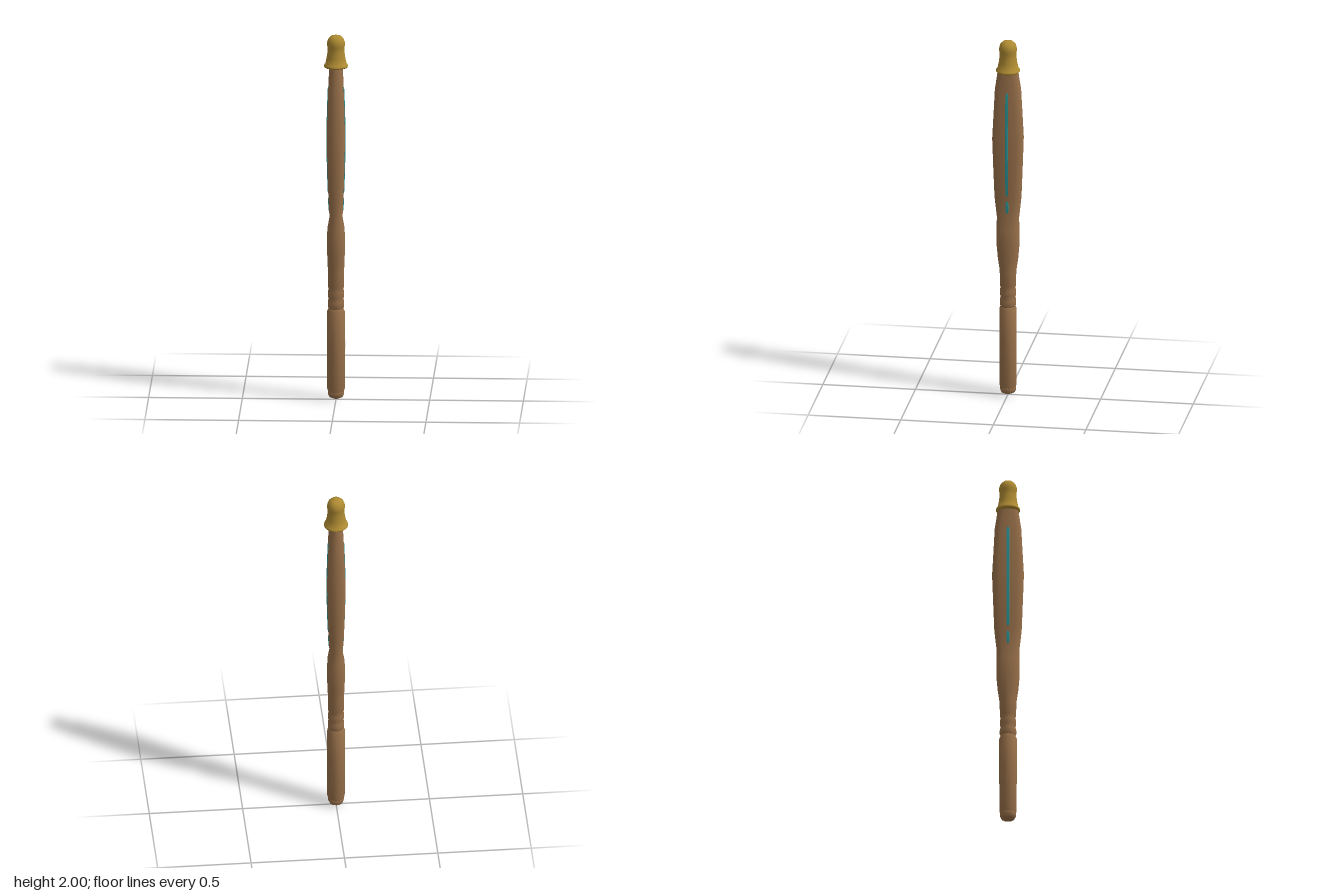
import * as THREE from 'three';
import { toCreasedNormals } from 'three/addons/utils/BufferGeometryUtils.js';

// Rows of [y, half width in x, half depth in z, corner exponent (1 = ellipse, lower = squarer)]
const SHAFT = [
  [0.5, 0.04, 0.04, 1], [0.512, 0.044, 0.044, 1], [0.535, 0.044, 0.044, 1], [0.553, 0.04, 0.04, 1],
  [0.565, 0.043, 0.043, 1], [0.59, 0.043, 0.043, 1], [0.608, 0.04, 0.04, 1], [0.618, 0.043, 0.043, 1],
  [0.7, 0.043, 0.045, 1], [0.77, 0.046, 0.055, 0.9], [0.85, 0.049, 0.062, 0.8], [0.94, 0.046, 0.062, 0.8],
  [1.0, 0.035, 0.06, 0.75], [1.12, 0.041, 0.073, 0.65], [1.28, 0.046, 0.079, 0.6], [1.45, 0.049, 0.085, 0.6],
  [1.6, 0.045, 0.077, 0.6], [1.72, 0.041, 0.071, 0.65], [1.83, 0.036, 0.055, 0.8],
];
const GRIP = [
  [0.045, 0, 0, 1], [0.045, 0.042, 0.042, 1], [0.06, 0.047, 0.046, 1], [0.3, 0.047, 0.047, 1],
  [0.485, 0.047, 0.047, 1], [0.5, 0.04, 0.04, 1],
];
const POMMEL = [
  [0, 0, 0, 1], [0.015, 0.036, 0.036, 1], [0.03, 0.043, 0.043, 1], [0.045, 0.043, 0.043, 1], [0.054, 0.037, 0.037, 1],
];

const power = (v, p) => Math.sign(v) * Math.pow(Math.abs(v), p);

// Skin a stack of cross-sections; each row may carry its own x offset
function loft(rows, sides = 16) {
  const pos = [], index = [];
  for (const [y, hx, hz, p, cx = 0] of rows) {
    for (let i = 0; i < sides; i++) {
      const a = (i / sides) * Math.PI * 2;
      pos.push(cx + hx * power(Math.cos(a), p), y, hz * power(Math.sin(a), p));
    }
  }
  for (let r = 0; r < rows.length - 1; r++) {
    for (let i = 0; i < sides; i++) {
      const a = r * sides + i, b = r * sides + ((i + 1) % sides);
      const c = a + sides, d = b + sides;
      index.push(a, c, b, b, c, d);
    }
  }
  const g = new THREE.BufferGeometry();
  g.setAttribute('position', new THREE.Float32BufferAttribute(pos, 3));
  g.setIndex(index);
  return toCreasedNormals(g, 0.75);
}

// Half width of the shaft in x at height y
function widthAt(y) {
  const k = SHAFT.findIndex((row) => row[0] >= y);
  const a = SHAFT[k - 1], b = SHAFT[k];
  return THREE.MathUtils.lerp(a[1], b[1], (y - a[0]) / (b[0] - a[0]));
}

// Thin inlay that follows the flat side of the shaft
function inlayRows(y0, y1, side) {
  const inner = SHAFT.map((row) => row[0]).filter((y) => y > y0 + 0.02 && y < y1 - 0.02);
  const ys = [y0, y0 + 0.015, ...inner, y1 - 0.015, y1];
  return ys.map((y, i) => {
    const end = i === 0 || i === ys.length - 1;
    return [y, end ? 0.001 : 0.003, end ? 0.002 : 0.008, 0.6, side * widthAt(y)];
  });
}

export function createModel() {
  const wood = new THREE.MeshStandardMaterial({ color: 0x98703f });
  const brass = new THREE.MeshStandardMaterial({ color: 0xae8a32 });
  const teal = new THREE.MeshStandardMaterial({ color: 0x2a9496 });
  wood.name = 'wood';
  brass.name = 'brass';
  teal.name = 'teal';
  wood.color.set(0x98704a);

  const model = new THREE.Group();
  model.name = 'staff';
  const add = (name, geometry, material) => {
    const mesh = new THREE.Mesh(geometry, material);
    mesh.name = name;
    model.add(mesh);
  };

  add('shaft', loft(SHAFT), wood);
  add('grip', loft(GRIP), wood);
  add('pommel', loft(POMMEL, 12), wood);

  // Flared cap with a rim and a domed top
  const capProfile = [
    [0, 1.825], [0.06, 1.822], [0.065, 1.828], [0.064, 1.836], [0.057, 1.842], [0.05, 1.875], [0.045, 1.91],
    [0.045, 1.93], [0.048, 1.945], [0.047, 1.962], [0.04, 1.981], [0.026, 1.994], [0, 2],
  ].map(([r, y]) => new THREE.Vector2(r, y));
  add('cap', toCreasedNormals(new THREE.LatheGeometry(capProfile, 20), 0.75), brass);

  // Two inlay pieces on each flat side
  for (const side of [1, -1]) {
    const label = side > 0 ? 'left' : 'right';
    add(label + 'LongInlay', loft(inlayRows(1.13, 1.715, side), 8), teal);
    add(label + 'ShortInlay', loft(inlayRows(1.03, 1.105, side), 8), teal);
  }
  return model;
}
